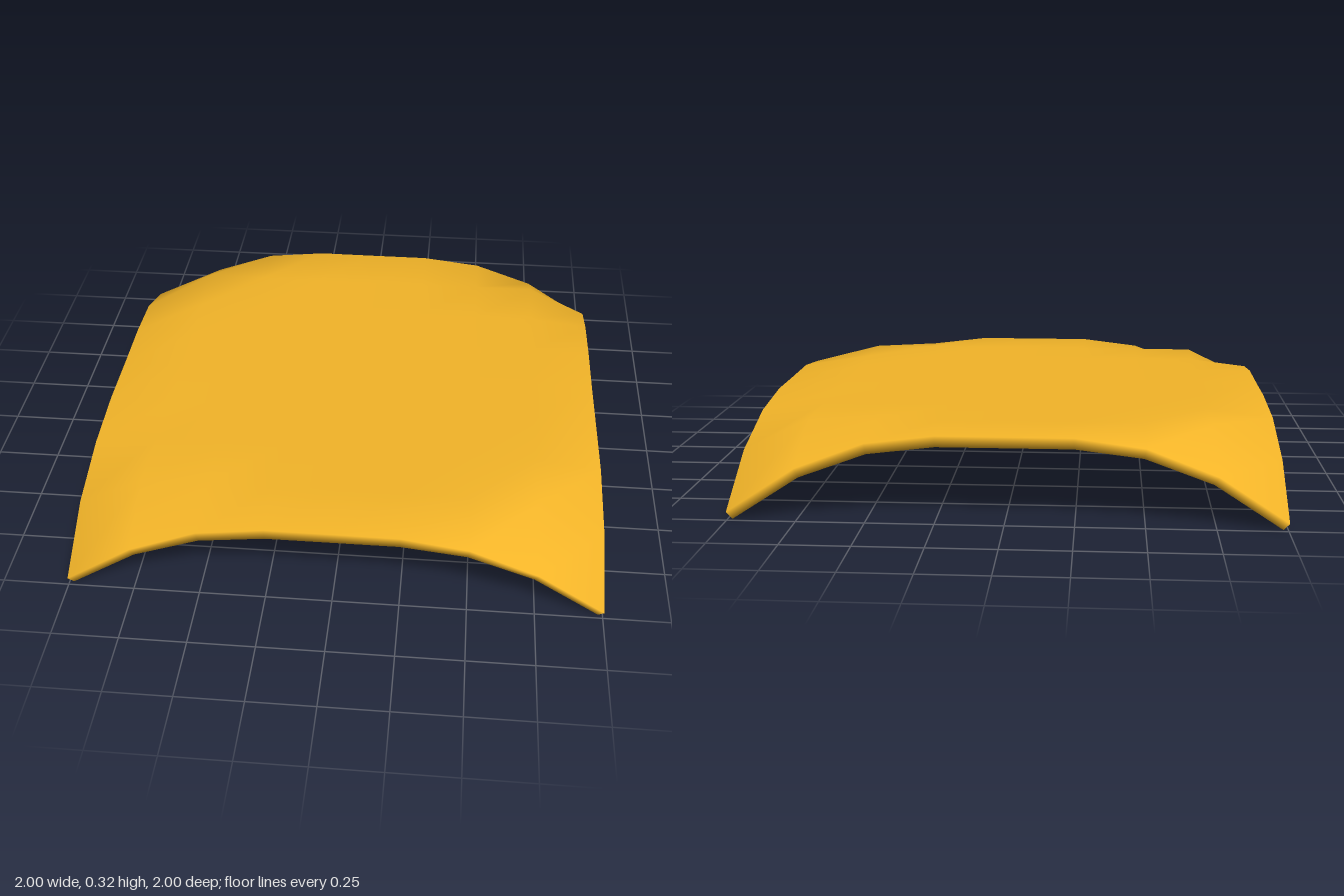
import * as THREE from 'three';

const N = 8;            // cells per side
const SIZE = 1.966;     // width of the underside
const THICKNESS = 0.04;
const DROP = [0, 0, 0.03, 0.12, 0.28]; // rim drop from edge middle to corner

// Flat square sheet whose outer ring bends down towards the corners
function makeSheet() {
  const sheet = new THREE.PlaneGeometry(SIZE, SIZE, N, N).rotateX(-Math.PI / 2);
  const pos = sheet.attributes.position;
  const half = N / 2;
  for (let j = 0; j <= N; j++) {
    for (let i = 0; i <= N; i++) {
      const a = Math.abs(i - half), b = Math.abs(j - half);
      const onRim = Math.max(a, b) === half;
      pos.setY(j * (N + 1) + i, 0.28 - (onRim ? DROP[Math.min(a, b)] : 0));
    }
  }
  sheet.computeVertexNormals();
  return sheet;
}

// Thicken the sheet along its normals into one closed, smooth-shaded shell
function makeShell() {
  const sheet = makeSheet();
  const pos = sheet.attributes.position, nor = sheet.attributes.normal;
  const count = pos.count;
  const bottom = [], top = [], index = [];
  const p = new THREE.Vector3(), n = new THREE.Vector3();
  for (let k = 0; k < count; k++) {
    p.fromBufferAttribute(pos, k);
    n.fromBufferAttribute(nor, k);
    bottom.push(p.x, p.y, p.z);
    p.addScaledVector(n, THICKNESS);
    top.push(p.x, p.y, p.z);
  }

  // Top and underside faces
  const faces = sheet.index.array;
  for (let f = 0; f < faces.length; f += 3) {
    const [a, b, c] = [faces[f], faces[f + 1], faces[f + 2]];
    index.push(a + count, b + count, c + count, a, c, b);
  }

  // Rim wall, walking counter-clockwise as seen from above
  const at = (i, j) => j * (N + 1) + i;
  const rim = [];
  for (let k = 0; k < N; k++) rim.push(at(k, N));
  for (let k = 0; k < N; k++) rim.push(at(N, N - k));
  for (let k = 0; k < N; k++) rim.push(at(N - k, 0));
  for (let k = 0; k < N; k++) rim.push(at(0, k));
  rim.forEach((a, k) => {
    const b = rim[(k + 1) % rim.length];
    index.push(a, b, b + count, a, b + count, a + count);
  });

  const shell = new THREE.BufferGeometry();
  shell.setAttribute('position', new THREE.Float32BufferAttribute([...bottom, ...top], 3));
  shell.setIndex(index);
  shell.computeVertexNormals();
  return shell;
}

export function createModel() {
  const group = new THREE.Group();
  const canopy = new THREE.Mesh(
    makeShell(),
    new THREE.MeshStandardMaterial({ color: 0xf2b428 })
  );
  canopy.name = 'curvedPanel';
  group.add(canopy);
  return group;
}
